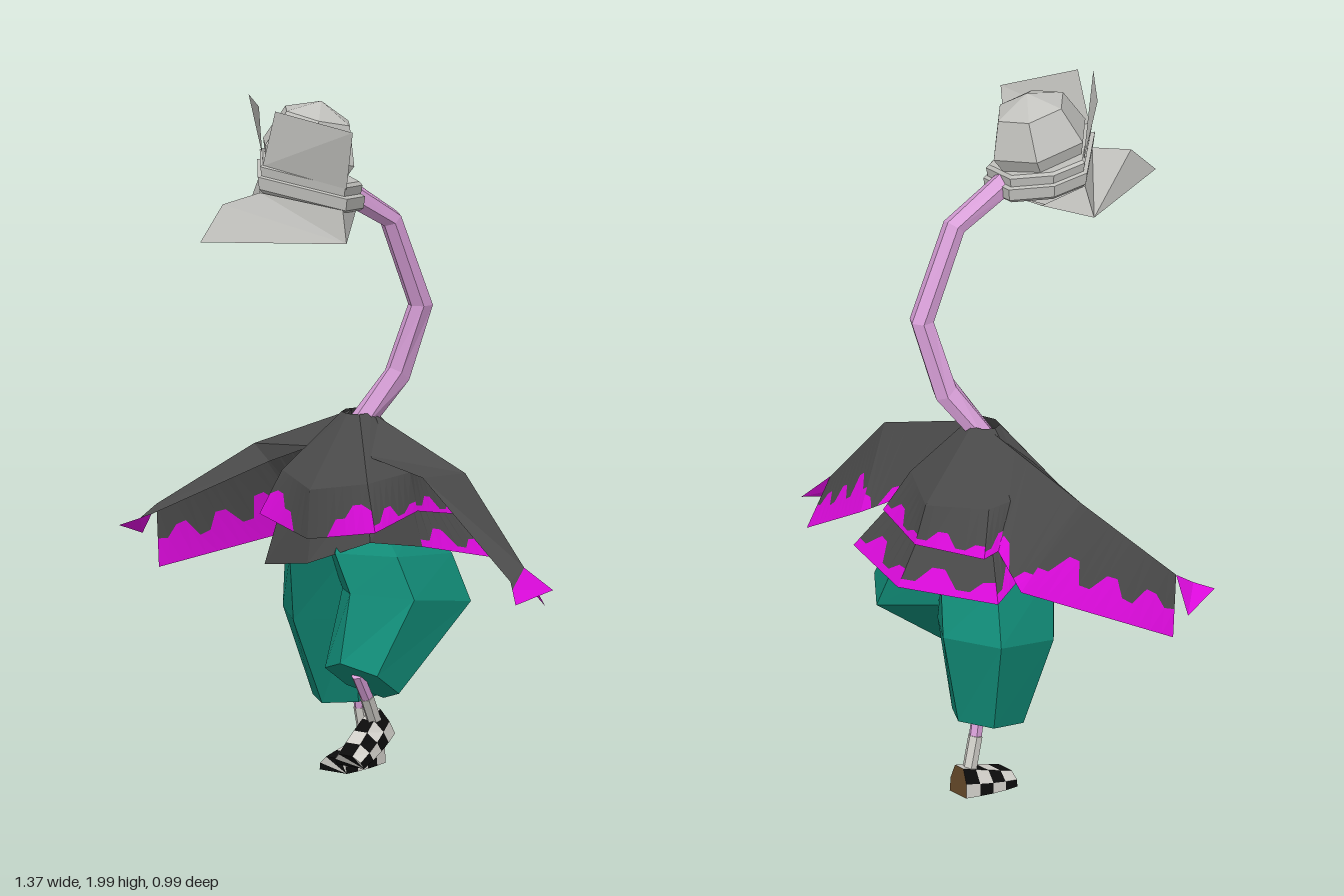
import * as THREE from 'three';

const mat = (name, color, side = THREE.FrontSide) =>
  Object.assign(new THREE.MeshStandardMaterial({ color, flatShading: true, side }), { name });
const D = THREE.DoubleSide;
const M = {
  cloth: mat('charcoal cloth', 0x4a4a4a, D),
  trim: mat('magenta trim', 0xdd0add, D),
  teal: mat('teal trousers', 0x118a76),
  skin: mat('pink skin', 0xd9a0d9),
  hat: mat('grey hat', 0xc2c2be, D),
  white: mat('shoe white', 0xd4d2cc),
  black: mat('shoe black', 0x0c0c0c),
  sole: mat('brown sole', 0x644828),
};

const V = (p) => new THREE.Vector3(...p);
const lerp = (a, b, t) => a.map((v, i) => v + (b[i] - v) * t);
const quad = (a, b, c, d) => [[a, b, c], [a, c, d]];

// Flat-shaded mesh from a list of triangles, leaving out empty ones
function mesh(name, tris, material) {
  const good = tris.filter((t) => new THREE.Triangle(...t.map(V)).getArea() > 1e-7);
  const g = new THREE.BufferGeometry();
  g.setAttribute('position', new THREE.Float32BufferAttribute(good.flat(2), 3));
  g.computeVertexNormals();
  const m = new THREE.Mesh(g, material);
  m.name = name;
  return m;
}

// Ring around x = cx, running from a front point to a back point, each [y, z]
function ring(cx, rx, f, b, n = 6) {
  return Array.from({ length: n }, (_, i) => {
    const a = (i / n) * Math.PI * 2;
    const [y, z] = lerp(f, b, (1 - Math.cos(a)) / 2);
    return [cx + rx * Math.sin(a), y, z];
  });
}

// Skin joining rings from bottom to top, closed at both ends
function loft(rings) {
  const tris = [];
  rings.slice(1).forEach((B, k) => {
    const A = rings[k];
    A.forEach((p, i) => {
      const j = (i + 1) % A.length;
      tris.push(...quad(p, A[j], B[j], B[i]));
    });
  });
  const low = rings[0], top = rings[rings.length - 1];
  for (let i = 1; i < low.length - 1; i++) {
    tris.push([low[0], low[i + 1], low[i]], [top[0], top[i], top[i + 1]]);
  }
  return tris;
}

// Cloth panel from edge a0-a1 down to hem b0-b1, trimmed below a dripping line
function drip(out, a0, a1, b0, b1, line) {
  const n = line.length - 1;
  for (let i = 0; i < n; i++) {
    const [p, q] = [lerp(a0, a1, i / n), lerp(a0, a1, (i + 1) / n)];
    const [r, s] = [lerp(b0, b1, i / n), lerp(b0, b1, (i + 1) / n)];
    const [m, o] = [lerp(p, r, line[i]), lerp(q, s, line[i + 1])];
    out.cloth.push(...quad(m, o, q, p));
    out.trim.push(...quad(r, s, o, m));
  }
}

function clothGroup(name, build) {
  const out = { cloth: [], trim: [] };
  build(out);
  const g = new THREE.Group();
  g.name = name;
  g.add(mesh(name + 'Cloth', out.cloth, M.cloth), mesh(name + 'Trim', out.trim, M.trim));
  return g;
}

// One wing-like sleeve: [front lip, ridge, trailing edge] at each station, then the tip
function wing(name, [root, shoulder, wrist], tip) {
  return clothGroup(name, (o) => {
    [[root, shoulder, [0.95, 0.95, 0.8, 0.8, 1, 1, 0.85, 0.8]],
      [shoulder, wrist, [0.72, 0.72, 0.5, 0.5, 0.74, 0.74, 0.52, 0.5, 0.7, 0.72, 0.45, 0.45, 0.6, 0.55]],
    ].forEach(([A, B, line]) => {
      o.cloth.push(...quad(A[0], B[0], B[1], A[1]));
      drip(o, A[1], B[1], A[2], B[2], line);
    });
    const mid = lerp(wrist[0], tip[0], 0.35);
    o.cloth.push([wrist[0], mid, wrist[1]]);
    o.trim.push([mid, tip[0], tip[1]], [mid, tip[1], wrist[1]]);
  });
}

// Checkered shoe: heel at the origin, toe toward +z
function shoe(name, length) {
  const cols = 5, rows = 4;
  const section = (t) => {
    const w = 0.036 + 0.02 * Math.sin(t * Math.PI * 0.65), h = 0.085 - 0.045 * t;
    return [[w, 0], [w * 0.95, h * 0.5], [w * 0.5, h], [-w * 0.5, h], [-w * 0.95, h * 0.5], [-w, 0]]
      .map(([x, y]) => [x, y, t * length]);
  };
  const parts = { white: [], black: [], sole: [] };
  for (let r = 0; r < rows; r++) {
    const A = section(r / rows), B = section((r + 1) / rows);
    for (let c = 0; c < cols; c++) {
      parts[(r + c) % 2 ? 'black' : 'white'].push(...quad(A[c], A[c + 1], B[c + 1], B[c]));
    }
    parts.sole.push(...quad(A[5], A[0], B[0], B[5]));
  }
  const heel = section(0), toe = section(1);
  for (let i = 1; i < 5; i++) {
    parts[i % 2 ? 'white' : 'black'].push([toe[0], toe[i], toe[i + 1]]);
    parts.sole.push([heel[0], heel[i + 1], heel[i]]);
  }
  const g = new THREE.Group();
  g.name = name;
  Object.keys(parts).forEach((k) => g.add(mesh(name + '_' + k, parts[k], M[k])));
  return g;
}

// Thin shin segment between two points
function stick(name, a, b, r, material) {
  const A = V(a), B = V(b);
  const m = new THREE.Mesh(new THREE.CylinderGeometry(r, r, A.distanceTo(B), 6), material);
  m.position.copy(A).lerp(B, 0.5);
  m.quaternion.setFromUnitVectors(new THREE.Vector3(0, 1, 0), A.sub(B).normalize());
  m.name = name;
  return m;
}

// Full hem of eight points from the five on the +x side
const mirrorRing = (pts) => [...pts, ...pts.slice(1, 4).reverse().map(([x, y, z]) => [-x, y, z])];

export function createModel() {
  const model = new THREE.Group();
  model.name = 'hattedBird';

  // Neck
  model.add(mesh('neck', loft([
    ring(0.01, 0.045, [1.03, -0.145], [1.04, -0.235]),
    ring(0.075, 0.038, [1.19, -0.235], [1.14, -0.295]),
    ring(0.132, 0.036, [1.37, -0.265], [1.37, -0.338]),
    ring(0.125, 0.036, [1.61, -0.165], [1.65, -0.21]),
    ring(0.09, 0.035, [1.7, -0.01], [1.765, -0.045]),
  ]), M.skin));

  // Hat: band, dome, two front panels and pointed visor
  const hat = new THREE.Group();
  hat.name = 'hat';
  const plan = [[0.07, 0.28], [0.22, 0.09], [0.17, -0.03], [0.03, -0.06], [-0.09, 0], [-0.12, 0.09]];
  const bandRing = (h, s) => plan.map(([px, pz]) => {
    const x = 0.06 + (px - 0.06) * s, z = 0.07 + (pz - 0.07) * s;
    return [x, 1.79 - 0.2 * x + 0.19 * z + h, z];
  });
  hat.add(mesh('hatBand', loft([[-0.075, 0.95], [-0.065, 1.02], [-0.03, 1.05], [-0.026, 0.97],
    [0, 1], [0.008, 0.94]].map(([h, s]) => bandRing(h, s))), M.hat));
  const dome = new THREE.Mesh(new THREE.SphereGeometry(0.15, 6, 4), M.hat);
  dome.name = 'hatDome';
  dome.position.set(0.06, 1.845, 0.075);
  dome.rotation.set(-0.15, 0.3, -0.15);
  hat.add(dome);
  hat.add(mesh('hatPanels', [
    ...quad([-0.1, 1.82, 0.1], [0.07, 1.83, 0.27], [0.06, 2, 0.275], [-0.105, 2, 0.15]),
    ...quad([0.07, 1.83, 0.27], [0.225, 1.76, 0.09], [0.27, 1.93, 0.11], [0.11, 1.99, 0.26]),
  ], M.hat));
  const tip = [0.04, 1.635, 0.49], L = [-0.16, 1.675, 0.09], R = [0.235, 1.605, 0.1];
  const K = [0.03, 1.73, 0.39], F = [0.07, 1.755, 0.28], bl = [-0.12, 1.76, 0.09];
  const br = [0.22, 1.7, 0.1], back = [0.15, 1.69, -0.03], backL = [-0.06, 1.71, -0.02];
  hat.add(mesh('visor', [
    [L, tip, K], [L, K, F], [L, F, bl], [tip, R, K], [R, F, K], [R, br, F],
    [tip, L, R], [R, back, br], [L, bl, backL], ...quad(L, backL, back, R),
  ], M.hat));
  model.add(hat);

  // Cape: plain shoulders, then dripping hem panels
  const collar = ring(0, 0.05, [1.06, -0.14], [1.065, -0.23], 8);
  const mid = mirrorRing([[0, 0.86, 0.01], [0.17, 0.89, -0.05], [0.2, 0.91, -0.19], [0.17, 0.89, -0.31], [0, 0.87, -0.4]]);
  const hem = mirrorRing([[0, 0.72, 0.02], [0.23, 0.76, -0.02], [0.22, 0.8, -0.2], [0.22, 0.77, -0.37], [0, 0.76, -0.44]]);
  const front = [1, 1, 1, 0.65, 0.65, 0.4, 0.4, 0.55], rear = [0.85, 0.85, 0.6, 0.6, 0.9, 0.9, 0.75, 0.75];
  const capeLines = [front, rear, rear, rear, rear, rear, rear, [...front].reverse()];
  model.add(clothGroup('cape', (o) => mid.forEach((p, i) => {
    const j = (i + 1) % 8;
    o.cloth.push(...quad(p, mid[j], collar[j], collar[i]));
    drip(o, p, mid[j], hem[i], hem[j], capeLines[i]);
  })));

  // Lower skirt showing beneath the cape
  const skirt = [[0, 0.65, 0.02], [0.21, 0.73, -0.02], [0.24, 0.7, -0.2], [0.29, 0.65, -0.42],
    [0.01, 0.64, -0.495], [-0.28, 0.65, -0.37], [-0.24, 0.72, -0.2], [-0.2, 0.62, -0.01]];
  model.add(clothGroup('skirt', (o) => skirt.forEach((p, i) => {
    const j = (i + 1) % 8, plain = i < 2 || i > 5;
    const top = (k) => lerp(mid[k], [0, 0.86, -0.19], 0.12);
    drip(o, top(i), top(j), p, skirt[j], plain ? [1, 1] : [0.9, 0.9, 0.72, 0.72, 0.92, 0.92, 0.8, 0.78]);
  })));

  // Wings, the right one swept forward
  model.add(wing('leftWing', [
    [[0.1, 0.96, -0.1], [0.04, 1.06, -0.2], [0.2, 0.8, -0.33]],
    [[0.29, 0.91, -0.15], [0.4, 0.93, -0.21], [0.33, 0.72, -0.36]],
    [[0.62, 0.65, -0.17], [0.625, 0.685, -0.22], [0.61, 0.56, -0.32]],
  ], [[0.66, 0.59, -0.15], [0.68, 0.62, -0.28]]));
  model.add(wing('rightWing', [
    [[-0.1, 0.96, -0.1], [-0.04, 1.06, -0.2], [-0.2, 0.8, -0.32]],
    [[-0.29, 0.89, -0.12], [-0.37, 0.93, -0.14], [-0.31, 0.68, -0.31]],
    [[-0.6, 0.72, 0.04], [-0.61, 0.745, 0.01], [-0.62, 0.56, -0.01]],
  ], [[-0.66, 0.69, 0.11], [-0.685, 0.65, -0.01]]));

  // Baggy trousers, left knee raised
  model.add(mesh('rightTrouserLeg', loft([
    ring(-0.13, 0.105, [0.21, -0.17], [0.24, -0.39]),
    ring(-0.135, 0.16, [0.46, -0.06], [0.52, -0.45]),
    ring(-0.09, 0.14, [0.66, 0], [0.66, -0.42]),
    ring(-0.06, 0.1, [0.76, -0.06], [0.76, -0.34]),
  ]), M.teal));
  model.add(mesh('leftTrouserLeg', loft([
    ring(0.175, 0.12, [0.39, 0.065], [0.27, -0.11]),
    ring(0.155, 0.165, [0.58, 0.005], [0.52, -0.45]),
    ring(0.1, 0.16, [0.69, 0.01], [0.66, -0.43]),
    ring(0.06, 0.1, [0.76, -0.06], [0.76, -0.34]),
  ]), M.teal));

  // Shins, socks and shoes
  [['right', [-0.13, 0.25, -0.315], [-0.135, 0.18, -0.33], [-0.135, 0.07, -0.355], [-0.135, 0.015, -0.395], 0.05, 0.175],
    ['left', [0.18, 0.35, 0], [0.172, 0.28, -0.045], [0.152, 0.17, -0.11], [0.15, 0.165, -0.145], 0.52, 0.165],
  ].forEach(([side, knee, sock, ankle, heel, pitch, length]) => {
    model.add(stick(side + 'Shin', knee, sock, 0.019, M.skin));
    model.add(stick(side + 'Sock', sock, ankle, 0.021, M.white));
    const s = shoe(side + 'Shoe', length);
    s.position.set(...heel);
    s.rotation.x = pitch;
    model.add(s);
  });
  return model;
}
